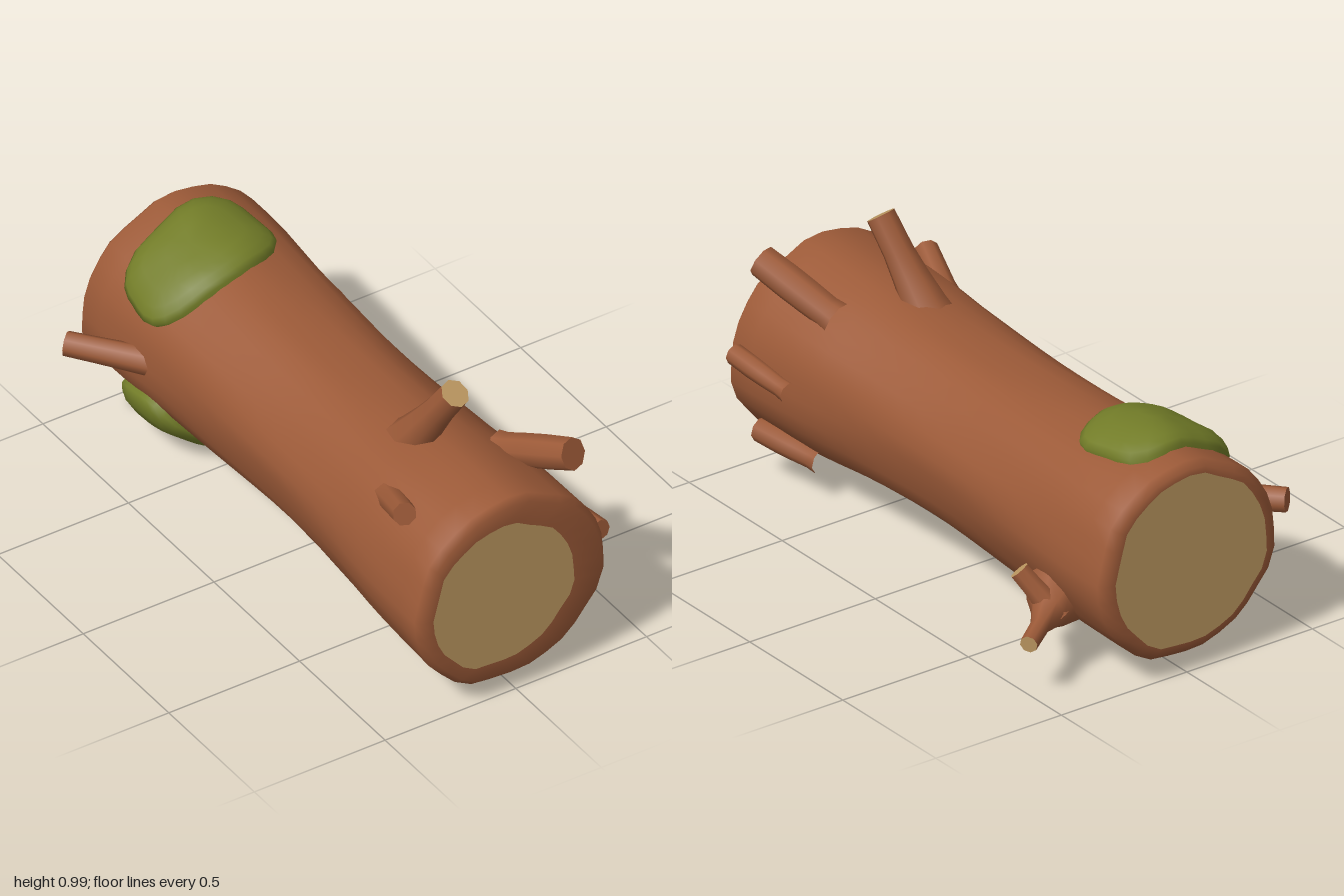
import * as THREE from 'three';

const bark = new THREE.MeshStandardMaterial({ color: 0x9c5a38 });
bark.name = 'bark brown';
const wood = new THREE.MeshStandardMaterial({ color: 0xbf9a62 });
wood.name = 'cut wood tan';
const moss = new THREE.MeshStandardMaterial({ color: 0x727c28 });
moss.name = 'moss green';

const SIDES = 32;

function surface(name, points, index, material) {
  const geo = new THREE.BufferGeometry().setFromPoints(points);
  geo.setIndex(index);
  geo.computeVertexNormals();
  const mesh = new THREE.Mesh(geo, material);
  mesh.name = name;
  return mesh;
}

// Trunk radius narrows towards the middle, with gentle lumps around it
const waist = new THREE.SplineCurve([
  [-1, 0.352], [-0.8, 0.352], [-0.5, 0.334], [0, 0.318], [0.4, 0.332], [0.65, 0.352], [1, 0.362],
].map(([z, r]) => new THREE.Vector2(z, r)));
const waistPoints = waist.getPoints(60);
function radiusAt(z) {
  const k = waistPoints.findIndex((p) => p.x >= z - 1e-6);
  if (k <= 0) return waistPoints[k === 0 ? 0 : 60].y;
  const a = waistPoints[k - 1], b = waistPoints[k];
  return THREE.MathUtils.mapLinear(z, a.x, b.x, a.y, b.y);
}
const lumps = (t, z) => 0.005 * Math.sin(3 * t + 2 * z) + 0.004 * Math.sin(7 * t - 3 * z)
  + 0.003 * Math.sin(11 * t + 5 * z);

function trunkPoint(t, z, offset = 0) {
  const r = radiusAt(z) + lumps(t, z) + offset;
  return new THREE.Vector3(-0.012 + r * Math.cos(t), 0.395 + 0.975 * r * Math.sin(t), z);
}

// Flat ring where bark meets the cut face
function cutRing(x, y, r, z) {
  return Array.from({ length: SIDES }, (_, j) => {
    const t = (j / SIDES) * Math.PI * 2;
    const k = r + lumps(t, z);
    return new THREE.Vector3(x + k * Math.cos(t), y + k * Math.sin(t), z);
  });
}

function trunk() {
  const group = new THREE.Group();
  group.name = 'trunk';
  const ring = (z, offset) => Array.from({ length: SIDES },
    (_, j) => trunkPoint((j / SIDES) * Math.PI * 2, z, offset));
  const backCut = cutRing(-0.015, 0.395, 0.3, -1);
  const frontCut = cutRing(-0.048, 0.393, 0.268, 1);
  const rows = [backCut, ring(-0.998, -0.022), ring(-0.975, 0)];
  for (let z = -0.88; z < 0.95; z += 0.11) rows.push(ring(z, 0));
  rows.push(ring(0.975, 0), ring(0.998, -0.022), frontCut);
  const index = [];
  for (let i = 0; i < rows.length - 1; i++) {
    for (let j = 0; j < SIDES; j++) {
      const k = (j + 1) % SIDES;
      const a = i * SIDES + j, b = i * SIDES + k;
      index.push(a, b, b + SIDES, a, b + SIDES, a + SIDES);
    }
  }
  group.add(surface('bark', rows.flat(), index, bark));

  // Cut faces fill the two end rings
  const cap = (name, pts, front) => {
    const centre = pts.reduce((s, p) => s.add(p), new THREE.Vector3()).divideScalar(SIDES);
    const fan = [];
    for (let j = 0; j < SIDES; j++) {
      const k = (j + 1) % SIDES;
      fan.push(SIDES, front ? j : k, front ? k : j);
    }
    group.add(surface(name, [...pts, centre], fan, wood));
  };
  cap('frontCutFace', frontCut, true);
  cap('backCutFace', backCut, false);
  return group;
}

// Pillow of moss wrapped over the trunk; angles in degrees
function mossPatch(name, angle, halfAngle, z0, halfZ, height, skew) {
  const rings = [0.3, 0.6, 0.8, 0.92, 1, 1.02], n = 28;
  const at = (t, a) => {
    const c = Math.cos(a), s = Math.sin(a);
    const k = t / Math.pow(Math.abs(c) ** 3 + Math.abs(s) ** 3, 1 / 3) * (1 + 0.03 * Math.sin(5 * a));
    const u = c * k, v = s * k;
    const theta = THREE.MathUtils.degToRad(angle + halfAngle * u);
    const z = z0 + halfZ * v + (v < 0 ? -skew * u * v : 0);
    return trunkPoint(theta, z, t > 1 ? -0.02 : 0.015 + (height - 0.015) * (1 - t ** 5));
  };
  const pts = [at(0, 0)], index = [];
  rings.forEach((t, i) => {
    for (let j = 0; j < n; j++) {
      pts.push(at(t, (j / n) * Math.PI * 2));
      const k = (j + 1) % n, a = 1 + i * n + j, b = 1 + i * n + k;
      if (i === 0) index.push(0, a, b);
      else index.push(a - n, a, b, a - n, b, b - n);
    }
  });
  return surface(name, pts, index, moss);
}

// Sawn-off branch with a flared foot
function branch(name, from, to, r, foot, endMaterial) {
  const a = new THREE.Vector3(...from), dir = new THREE.Vector3(...to).sub(a);
  const len = dir.length();
  const profile = [[foot, -0.04], [foot * 0.9, 0], [r + (foot - r) * 0.35, len * 0.3], [r * 1.05, len * 0.6], [r, len]];
  const group = new THREE.Group();
  group.name = name;
  const side = new THREE.Mesh(new THREE.LatheGeometry(profile.map((p) => new THREE.Vector2(...p)), 8), bark);
  side.name = 'branchSide';
  const end = new THREE.Mesh(new THREE.CircleGeometry(r, 8), endMaterial);
  end.name = 'branchEnd';
  end.rotation.x = -Math.PI / 2;
  end.position.y = len;
  group.add(side, end);
  group.position.copy(a);
  group.quaternion.setFromUnitVectors(new THREE.Vector3(0, 1, 0), dir.normalize());
  return group;
}

export function createModel() {
  const model = new THREE.Group();
  model.name = 'mossyLog';
  model.add(trunk());
  model.add(mossPatch('topMoss', 108, 44, -0.7, 0.18, 0.054, 0.04));
  model.add(mossPatch('bottomMoss', 245, 39, -0.69, 0.165, 0.066, 0));

  [
    ['topBranch', [-0.045, 0.69, 0.47], [0, 0.955, 0.645], 0.05, 0.085, wood],
    ['upperLeftBranch', [0.2, 0.66, 0.66], [0.278, 0.765, 0.91], 0.055, 0.06, bark],
    ['upperRightBranch', [-0.235, 0.625, 0.63], [-0.288, 0.682, 0.79], 0.04, 0.05, bark],
    ['sideTwig', [0.35, 0.415, 0.71], [0.364, 0.443, 0.94], 0.036, 0.036, bark],
    ['lowerTwig', [0.24, 0.14, 0.69], [0.285, 0.16, 0.91], 0.042, 0.045, bark],
    ['backRightBranch', [-0.32, 0.395, -0.65], [-0.5, 0.405, -0.865], 0.042, 0.055, bark],
    ['backLeftBranch', [0.29, 0.22, -0.69], [0.515, 0.19, -0.845], 0.03, 0.115, wood],
    ['backLeftStub', [0.34, 0.22, -0.73], [0.405, 0.34, -0.645], 0.035, 0.05, wood],
  ].forEach((spec) => model.add(branch(...spec)));
  return model;
}
